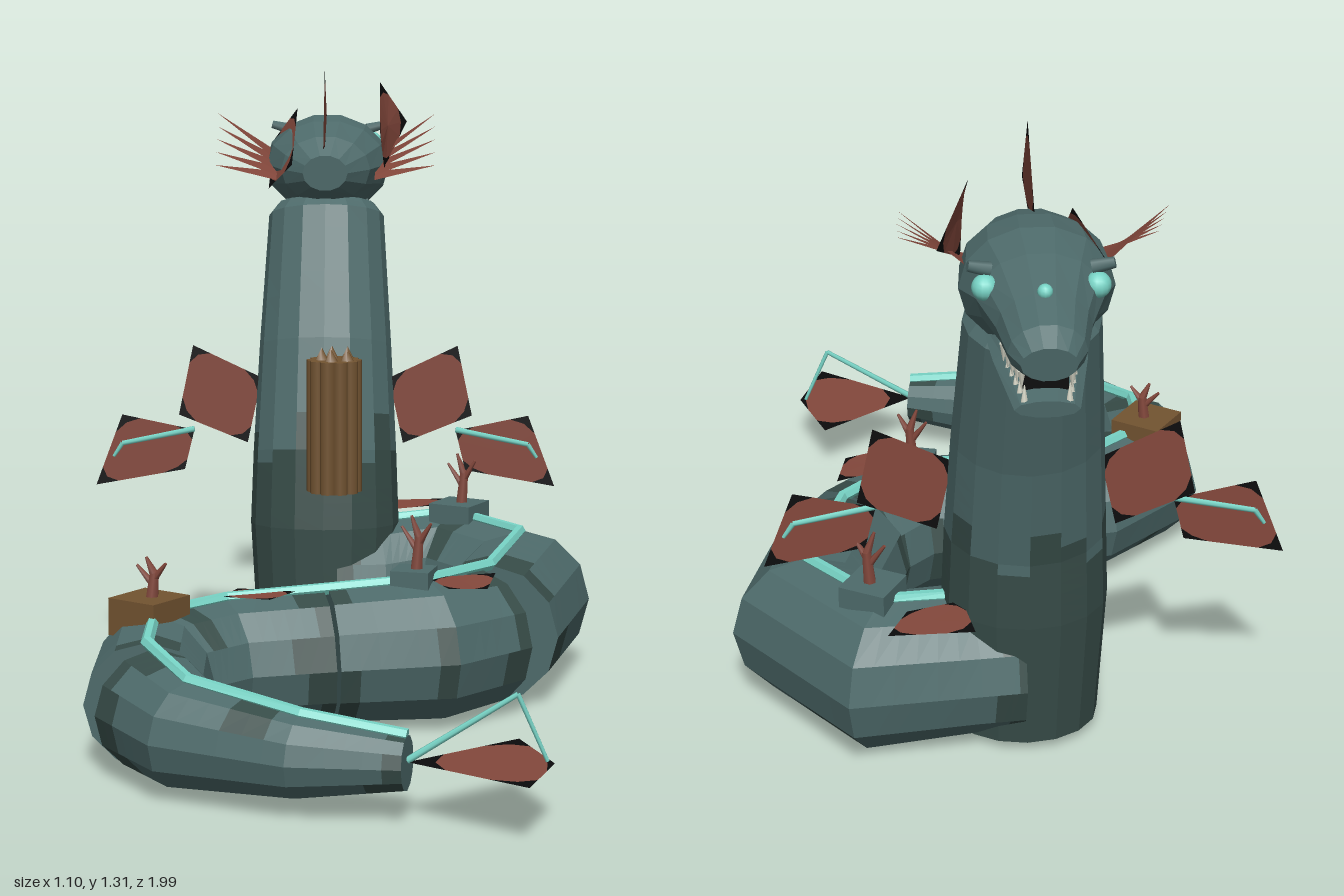
import * as THREE from 'three';

const mat = (name, color, double) => {
  const m = new THREE.MeshStandardMaterial({ color });
  m.name = name;
  if (double) m.side = THREE.DoubleSide;
  return m;
};
const skin = mat('tealSkin', 0x4e6b6b), dark = mat('darkSkin', 0x374c48), glow = mat('paleCyan', 0x78d4c6);
const red = mat('finRed', 0x84483c, true), black = mat('finBlack', 0x0b0b0c, true);
const wood = mat('woodBrown', 0x735431), bone = mat('toothWhite', 0xd8d8c8);
const V = (a) => new THREE.Vector3(...a);
const CX = -0.037; // centre line of head and neck

function mesh(parent, name, geo, material, pos = [0, 0, 0]) {
  const m = new THREE.Mesh(geo, material);
  m.name = name;
  m.position.set(...pos);
  parent.add(m);
  return m;
}

// Faceted loft through rings [x, y, z, halfWidth, halfHeight]; isDark(t, j) picks the blotched faces
function loft(parent, name, rings, base, isDark = () => false, sides = 12, sub = 1) {
  const centres = rings.map((r) => V(r));
  const knots = rings.map((r, i) => {
    const c = V(r.slice(0, 3)), a = centres[Math.max(i - 1, 0)], b = centres[Math.min(i + 1, rings.length - 1)];
    const t = b.clone().sub(a).normalize();
    const s = t.clone().cross(new THREE.Vector3(0, 1, 0)).normalize();
    const u = s.clone().cross(t);
    return Array.from({ length: sides }, (_, j) => {
      const w = (j / sides) * Math.PI * 2;
      return c.clone().addScaledVector(s, Math.cos(w) * r[3]).addScaledVector(u, Math.sin(w) * r[4]);
    });
  });
  const rows = [];
  for (let i = 0; i < knots.length - 1; i++)
    for (let k = 0; k < sub; k++) rows.push(knots[i].map((p, j) => p.clone().lerp(knots[i + 1][j], k / sub)));
  rows.push(knots[knots.length - 1]);
  const lists = [[], []], n = rows.length - 1;
  for (let i = 0; i < n; i++)
    for (let j = 0; j < sides; j++) {
      const k = (j + 1) % sides, [p, q] = [rows[i], rows[i + 1]];
      lists[isDark((i + 0.5) / n, j) ? 1 : 0].push(p[j], q[j], q[k], p[j], q[k], p[k]);
    }
  for (let j = 0; j < sides; j++) {
    const k = (j + 1) % sides;
    lists[0].push(centres[0], rows[0][j], rows[0][k], centres[centres.length - 1], rows[n][k], rows[n][j]);
  }
  const geo = new THREE.BufferGeometry().setFromPoints([...lists[0], ...lists[1]]);
  geo.addGroup(0, lists[0].length, 0);
  geo.addGroup(lists[0].length, lists[1].length, 1);
  geo.computeVertexNormals();
  return mesh(parent, name, geo, [base, dark]);
}

function triangles(parent, name, pts, material) {
  const geo = new THREE.BufferGeometry().setFromPoints(pts);
  geo.computeVertexNormals();
  return mesh(parent, name, geo, material);
}

// Thin four-cornered fin: rounded red web with black corners
function fin(parent, name, corners, cut = 0.32) {
  const c = corners.map(V), mid = new THREE.Vector3(), web = [], edge = [], tips = [];
  c.forEach((p) => mid.addScaledVector(p, 1 / c.length));
  c.forEach((p, i) => {
    const a = p.clone().lerp(c[(i + c.length - 1) % c.length], cut), b = p.clone().lerp(c[(i + 1) % c.length], cut);
    const m = a.clone().add(b).multiplyScalar(0.5).lerp(p, 0.25);
    edge.push(a, m, b);
    tips.push(p, m, a, p, b, m);
  });
  edge.forEach((p, i) => web.push(mid, p, edge[(i + 1) % edge.length]));
  const g = new THREE.Group();
  g.name = name;
  parent.add(g);
  triangles(g, 'finWeb', web, red);
  triangles(g, 'finCorners', tips, black);
}

// Straight rod between two points
function rod(parent, name, a, b, r0, r1, material) {
  const d = V(b).sub(V(a));
  const m = mesh(parent, name, new THREE.CylinderGeometry(r1, r0, d.length(), 6), material);
  m.position.copy(V(a)).addScaledVector(d, 0.5);
  m.quaternion.setFromUnitVectors(new THREE.Vector3(0, 1, 0), d.normalize());
}

function twig(parent, x, y, z, h) {
  const at = (dx, dy, dz = 0) => [x + dx, y + dy * h, z + dz];
  rod(parent, 'twigStem', at(0, 0), at(0.006, 0.65), 0.014, 0.01, red);
  rod(parent, 'twigBranch', at(0.006, 0.6), at(-0.01, 1), 0.01, 0.003, red);
  rod(parent, 'twigBranch', at(0.004, 0.5), at(0.03, 0.88, 0.012), 0.009, 0.003, red);
  rod(parent, 'twigBranch', at(0.002, 0.4), at(-0.03, 0.8, -0.012), 0.008, 0.003, red);
}

export function createModel() {
  const root = new THREE.Group();
  root.name = 'seaSerpent';

  // Coiled body in four sections, [x, z, radius, centre height]
  const sections = [
    [[-0.02, -0.44, 0.15, 0.152], [0.08, -0.45, 0.15, 0.152], [0.25, -0.485, 0.16, 0.155], [0.395, -0.3, 0.157, 0.152], [0.32, -0.015, 0.148, 0.146]],
    [[0.305, 0.01, 0.142, 0.146], [0.19, 0.125, 0.148, 0.145], [-0.012, 0.165, 0.14, 0.141]],
    [[-0.02, 0.165, 0.138, 0.14], [-0.22, 0.205, 0.135, 0.134], [-0.355, 0.33, 0.135, 0.13], [-0.355, 0.51, 0.125, 0.125]],
    [[-0.345, 0.52, 0.12, 0.121], [-0.265, 0.67, 0.105, 0.112], [-0.05, 0.785, 0.08, 0.104], [0.145, 0.83, 0.052, 0.105]],
  ];
  const ridge = [];
  sections.forEach((sec, n) => {
    loft(root, 'bodySection', sec.map(([x, z, r, y]) => [x, y, z, r, r]), skin,
      (t, j) => t < 0.1 + 0.06 * Math.sin(j * 2.3 + n) || t > 0.95 + 0.05 * Math.sin(j * 1.7) ||
        Math.abs(t - 0.55) < 0.09 * Math.sin(j * 1.1 + n * 2) - 0.03, 12, 6);
    sec.forEach(([x, z, r, y], i) => {
      if ((n === 0 && i === 0) || (n > 0 && i === 0)) return;
      ridge.push([x, y + r, z, 0.013, 0.013]);
    });
  });
  loft(root, 'backRidge', ridge, glow, undefined, 6);

  // Upright neck, darker near the waterline
  loft(root, 'neck', [
    [CX, 0.02, -0.432, 0.15, 0.125], [CX, 0.3, -0.442, 0.166, 0.14], [CX, 0.46, -0.456, 0.16, 0.132],
    [CX, 0.69, -0.512, 0.148, 0.122], [CX, 0.975, -0.607, 0.13, 0.11], [CX, 1.0, -0.615, 0.11, 0.09],
  ], skin, (t, j) => t < 0.41 + 0.05 * Math.sin(j * 1.9), 16, 6);

  // Head: skull with snout, and lower jaw
  const head = new THREE.Group();
  head.name = 'head';
  root.add(head);
  loft(head, 'skull', [
    [-0.48, 1.08, 0.05, 0.04], [-0.53, 1.085, 0.1, 0.075], [-0.62, 1.09, 0.135, 0.1], [-0.71, 1.085, 0.142, 0.115],
    [-0.79, 1.1, 0.115, 0.085], [-0.88, 1.085, 0.085, 0.07], [-0.96, 1.073, 0.07, 0.056], [-1, 1.067, 0.05, 0.034],
  ].map(([z, y, w, h]) => [CX, y, z, w, h]), skin, undefined, 14);
  loft(head, 'lowerJaw', [[-0.66, 1.0, 0.1, 0.04], [-0.8, 0.982, 0.085, 0.022], [-0.965, 0.965, 0.058, 0.017]]
    .map(([z, y, w, h]) => [CX, y, z, w, h]), skin, undefined, 10);
  mesh(head, 'mouthInside', new THREE.BoxGeometry(0.08, 0.04, 0.15), black, [CX, 1.0, -0.85]);
  mesh(head, 'browGem', new THREE.SphereGeometry(0.014, 12, 8), glow, [CX, 1.155, -0.89]);
  for (const s of [-1, 1]) {
    mesh(head, 'eye', new THREE.SphereGeometry(0.024, 14, 10), glow, [CX + s * 0.1, 1.13, -0.81]);
    rod(head, 'browHorn', [CX + s * 0.09, 1.16, -0.8], [CX + s * 0.13, 1.17, -0.805], 0.014, 0.01, skin);
    for (let i = 0; i < 5; i++) {
      const z = -0.83 - i * 0.028, w = 0.068 - i * 0.006;
      rod(head, 'upperTooth', [CX + s * w, 1.03, z], [CX + s * w, 0.996, z], 0.008, 0.001, bone);
      rod(head, 'lowerTooth', [CX + s * w * 0.9, 0.975, z - 0.012], [CX + s * w * 0.9, 1.008, z - 0.012], 0.007, 0.001, bone);
    }
    // Fan of gill spikes
    for (let i = 0; i < 5; i++) {
      const z = -0.67 + i * 0.033, y = 1.11 - i * 0.008;
      triangles(head, 'gillSpike', [
        V([CX + s * 0.11, y, z - 0.035]), V([CX + s * 0.11, y - 0.015, z + 0.03]),
        V([CX + s * 0.247, 1.205 - i * 0.027, z + 0.04]),
      ], red);
    }
  }

  // Crest and ear fins
  fin(head, 'crestFin', [[CX, 1.144, -0.326], [CX, 1.31, -0.465], [CX, 1.2, -0.64], [CX, 1.139, -0.476]], 0.28);
  fin(head, 'leftEarFin', [[0.083, 1.275, -0.66], [0.145, 1.18, -0.76], [0.094, 1.085, -0.57], [0.085, 1.17, -0.5]]);
  fin(head, 'rightEarFin', [[-0.104, 1.215, -0.66], [-0.16, 1.14, -0.73], [-0.166, 1.04, -0.56], [-0.11, 1.1, -0.46]]);

  // Paired side fins beside the neck
  for (const s of [-1, 1]) {
    const at = (z) => ([x, y]) => [CX + s * x, y, z];
    fin(root, 'upperSideFin', [[0.297, 0.693], [0.143, 0.62], [0.175, 0.472], [0.33, 0.535]].map(at(-0.488)), 0.25);
    fin(root, 'lowerSideFin', [[0.455, 0.54], [0.293, 0.506], [0.315, 0.416], [0.515, 0.38]].map(at(-0.455)), 0.25);
    const spine = [[0.293, 0.508], [0.455, 0.475], [0.475, 0.445]].map(at(-0.455));
    rod(root, 'finSpine', spine[0], spine[1], 0.007, 0.006, glow);
    rod(root, 'finSpine', spine[1], spine[2], 0.006, 0.004, glow);
  }

  // Flat fins on the back, and the tail fin with its raised spine
  fin(root, 'backFin', [[-0.23, 0.275, 0.22], [-0.2, 0.277, 0.15], [-0.08, 0.282, 0.2], [-0.13, 0.277, 0.255]]);
  fin(root, 'backFin', [[0.19, 0.294, 0.12], [0.33, 0.292, 0.06], [0.31, 0.285, 0.18], [0.23, 0.29, 0.205]]);
  fin(root, 'backFin', [[0.07, 0.315, -0.62], [0.24, 0.318, -0.63], [0.2, 0.318, -0.54], [0.09, 0.315, -0.5]]);
  fin(root, 'tailFin', [[0.145, 0.107, 0.83], [0.355, 0.107, 0.667], [0.413, 0.107, 0.833], [0.36, 0.107, 0.99]]);
  rod(root, 'tailSpine', [0.145, 0.11, 0.83], [0.345, 0.235, 0.83], 0.007, 0.005, glow);
  rod(root, 'tailSpine', [0.345, 0.235, 0.83], [0.4, 0.11, 0.83], 0.005, 0.004, glow);

  // Blocks with coral twigs along the back
  for (const [x, y, z, w, h, turn, m, t] of [
    [-0.367, 0.26, 0.32, 0.115, 0.075, -0.6, wood, 0.09],
    [0.16, 0.295, 0.125, 0.08, 0.04, -0.25, skin, 0.12],
    [0.265, 0.32, -0.46, 0.1, 0.045, -0.5, skin, 0.12],
  ]) {
    mesh(root, 'backBlock', new THREE.BoxGeometry(w, h, w), m, [x, y, z]).rotation.y = turn;
    twig(root, x + 0.005, y + h / 2 - 0.01, z, t);
  }

  // Bundle of sharpened poles
  for (let i = 0; i < 10; i++) {
    const a = (i / 10) * Math.PI * 2, x = -0.012 + Math.cos(a) * 0.044, z = -0.28 + Math.sin(a) * 0.044;
    mesh(root, 'bundlePole', new THREE.CylinderGeometry(0.017, 0.017, 0.29, 7), wood, [x, 0.545, z]);
    if (i % 2) mesh(root, 'poleTip', new THREE.ConeGeometry(0.017, 0.03, 6), wood, [x * 0.7, 0.702, -0.28 + (z + 0.28) * 0.7]);
  }
  mesh(root, 'bundleCore', new THREE.CylinderGeometry(0.042, 0.042, 0.29, 10), wood, [-0.012, 0.545, -0.28]);
  return root;
}
